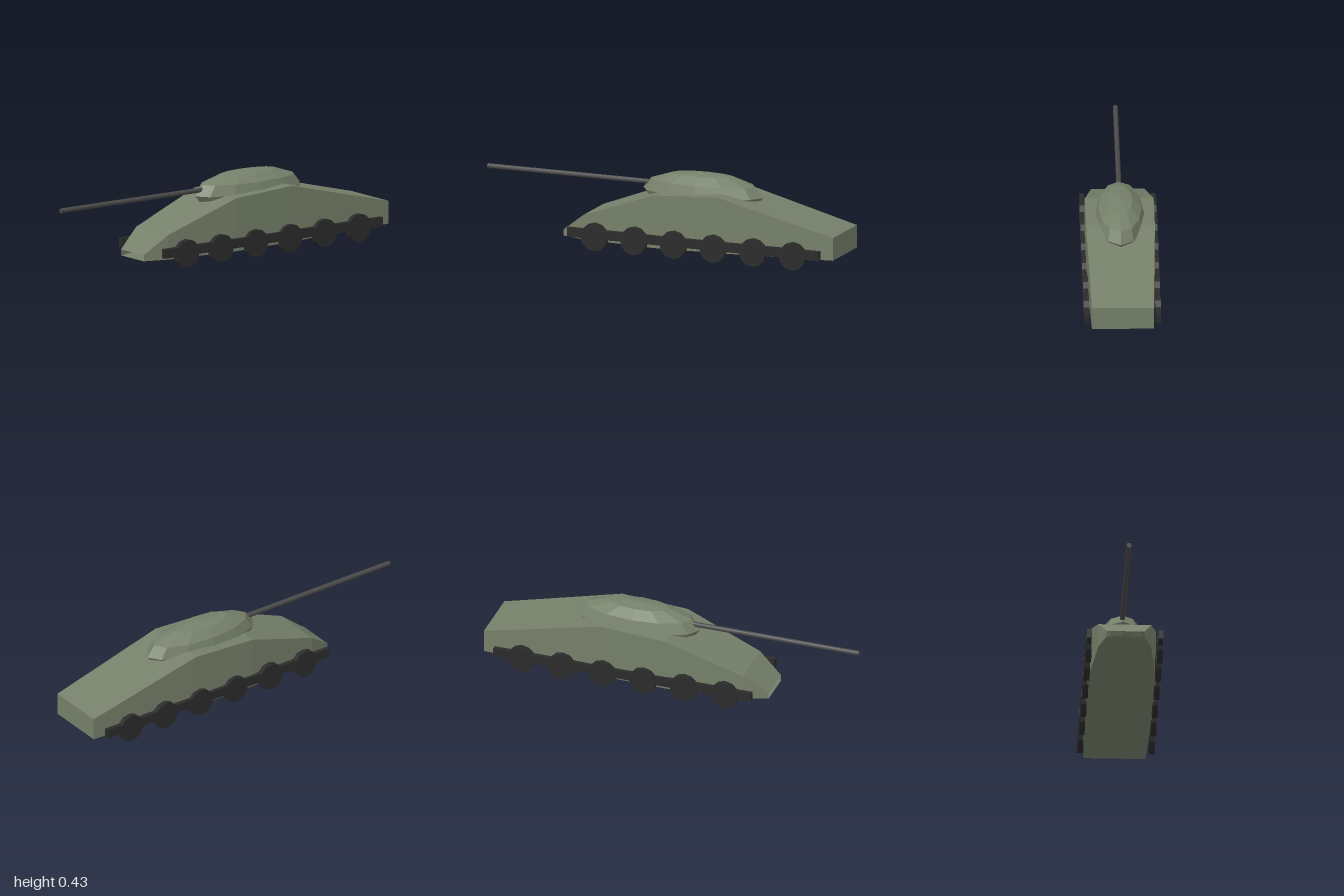
import * as THREE from 'three';

const paint = (color, side = THREE.FrontSide) =>
  new THREE.MeshStandardMaterial({ color, side, flatShading: true });

// Hull shell lofted through rectangular sections, nose left open
function hullGeometry() {
  const sections = [ // z, half width, bottom, top
    [0.537, 0.098, 0.043, 0.075],
    [0.41, 0.137, 0.043, 0.172],
    [0, 0.178, 0.044, 0.323],
    [-0.36, 0.178, 0.05, 0.345],
    [-1, 0.16, 0.065, 0.185],
  ];
  const positions = [];
  const index = [];
  for (const [z, w, b, t] of sections) {
    positions.push(-w, b, z, w, b, z, w, t, z, -w, t, z);
  }
  for (let i = 0; i < sections.length - 1; i++) {
    for (let j = 0; j < 4; j++) {
      const a = i * 4 + j;
      const b = i * 4 + (j + 1) % 4;
      index.push(a, a + 4, b, b, a + 4, b + 4);
    }
  }
  // Rear plate
  const r = (sections.length - 1) * 4;
  index.push(r, r + 2, r + 1, r, r + 3, r + 2);
  const geometry = new THREE.BufferGeometry();
  geometry.setAttribute('position', new THREE.Float32BufferAttribute(positions, 3));
  geometry.setIndex(index);
  const flat = geometry.toNonIndexed();
  flat.computeVertexNormals();
  return flat;
}

export function createModel() {
  const model = new THREE.Group();
  model.name = 'tank';
  const green = paint(0x76806a);
  const rubber = paint(0x2b2b2b);

  const add = (parent, name, geometry, material, x, y, z) => {
    const mesh = new THREE.Mesh(geometry, material);
    mesh.name = name;
    mesh.position.set(x, y, z);
    parent.add(mesh);
    return mesh;
  };

  add(model, 'hull', hullGeometry(), paint(0x76806a, THREE.DoubleSide), 0, 0, 0);

  // Squashed low-poly sphere, its lower half sunk into the hull
  const dome = new THREE.SphereGeometry(1, 12, 6).scale(0.13, 0.11, 0.336);
  add(model, 'turret', dome, green, 0, 0.32, -0.207);

  // Gun barrel
  const barrel = new THREE.CylinderGeometry(0.013, 0.013, 1, 12).rotateX(Math.PI / 2);
  add(model, 'barrel', barrel, paint(0x4a4a4a), 0, 0.35, 0.5);

  // Running gear on both sides
  const wheel = new THREE.CylinderGeometry(0.074, 0.074, 0.029, 12).rotateZ(Math.PI / 2);
  const bar = new THREE.BoxGeometry(0.025, 0.048, 1.412);
  for (const [side, label] of [[1, 'left'], [-1, 'right']]) {
    const gear = new THREE.Group();
    gear.name = label + 'RunningGear';
    add(gear, label + 'TrackBar', bar, rubber, side * 0.185, 0.089, -0.23);
    for (let i = 0; i < 6; i++) {
      add(gear, label + 'Wheel' + (i + 1), wheel, rubber, side * 0.185, 0.074, 0.326 - i * 0.2222);
    }
    model.add(gear);
  }
  return model;
}
